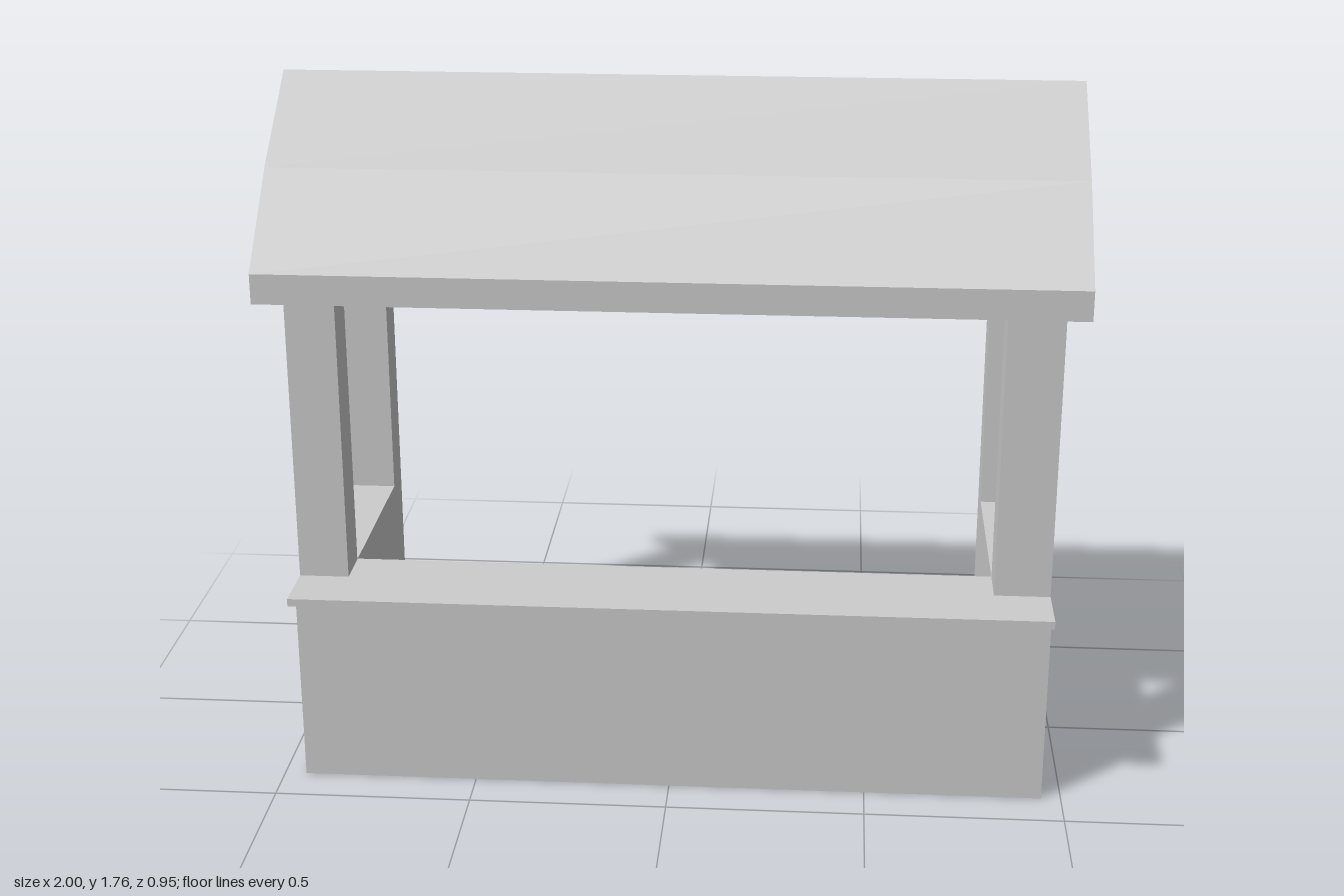
import * as THREE from 'three';

export function createModel() {
  const model = new THREE.Group();
  model.name = 'marketStall';
  const grey = new THREE.MeshStandardMaterial({ color: 0xcccccc });
  grey.name = 'plain grey';

  const add = (name, geometry) => {
    const mesh = new THREE.Mesh(geometry, grey);
    mesh.name = name;
    model.add(mesh);
  };

  // Box given by its limits on each axis
  const block = (name, [x0, x1], [y0, y1], [z0, z1]) => {
    const g = new THREE.BoxGeometry(x1 - x0, y1 - y0, z1 - z0);
    g.translate((x0 + x1) / 2, (y0 + y1) / 2, (z0 + z1) / 2);
    add(name, g);
  };

  // Side profile of [z, y] points, extruded from x0 to x1
  const profile = (name, points, x0, x1) => {
    const shape = new THREE.Shape(points.map(([z, y]) => new THREE.Vector2(-z, y)));
    const g = new THREE.ExtrudeGeometry(shape, { depth: x1 - x0, bevelEnabled: false });
    g.rotateY(Math.PI / 2).translate(x0, 0, 0);
    add(name, g);
  };

  // End frames: low side wall with a front and a back post reaching into the roof
  const frame = [
    [0.39, 0], [0.39, 0.515], [0.33, 0.515], [0.33, 1.42], [0.22, 1.53], [0.22, 0.535],
    [-0.29, 0.535], [-0.29, 1.52], [-0.39, 1.42], [-0.39, 0],
  ];
  profile('leftEndFrame', frame, 0.81, 0.95);
  profile('rightEndFrame', frame, -0.945, -0.82);

  // Front wall, its counter and the inner shelf; the back stays open
  const inner = [-0.82, 0.81];
  block('frontWall', inner, [0, 0.515], [0.215, 0.39]);
  block('counterInside', inner, [0.515, 0.535], [0.215, 0.33]);
  block('counterLedge', [-0.945, 0.95], [0.515, 0.535], [0.33, 0.475]);
  block('innerShelf', inner, [0.395, 0.415], [0.06, 0.215]);

  // Folded gable roof of even thickness
  profile('roof', [
    [0.425, 1.36], [0.215, 1.57], [-0.035, 1.76], [-0.29, 1.56], [-0.475, 1.37],
    [-0.475, 1.3], [-0.29, 1.485], [-0.035, 1.69], [0.22, 1.49], [0.425, 1.285],
  ], -1, 1);

  return model;
}
